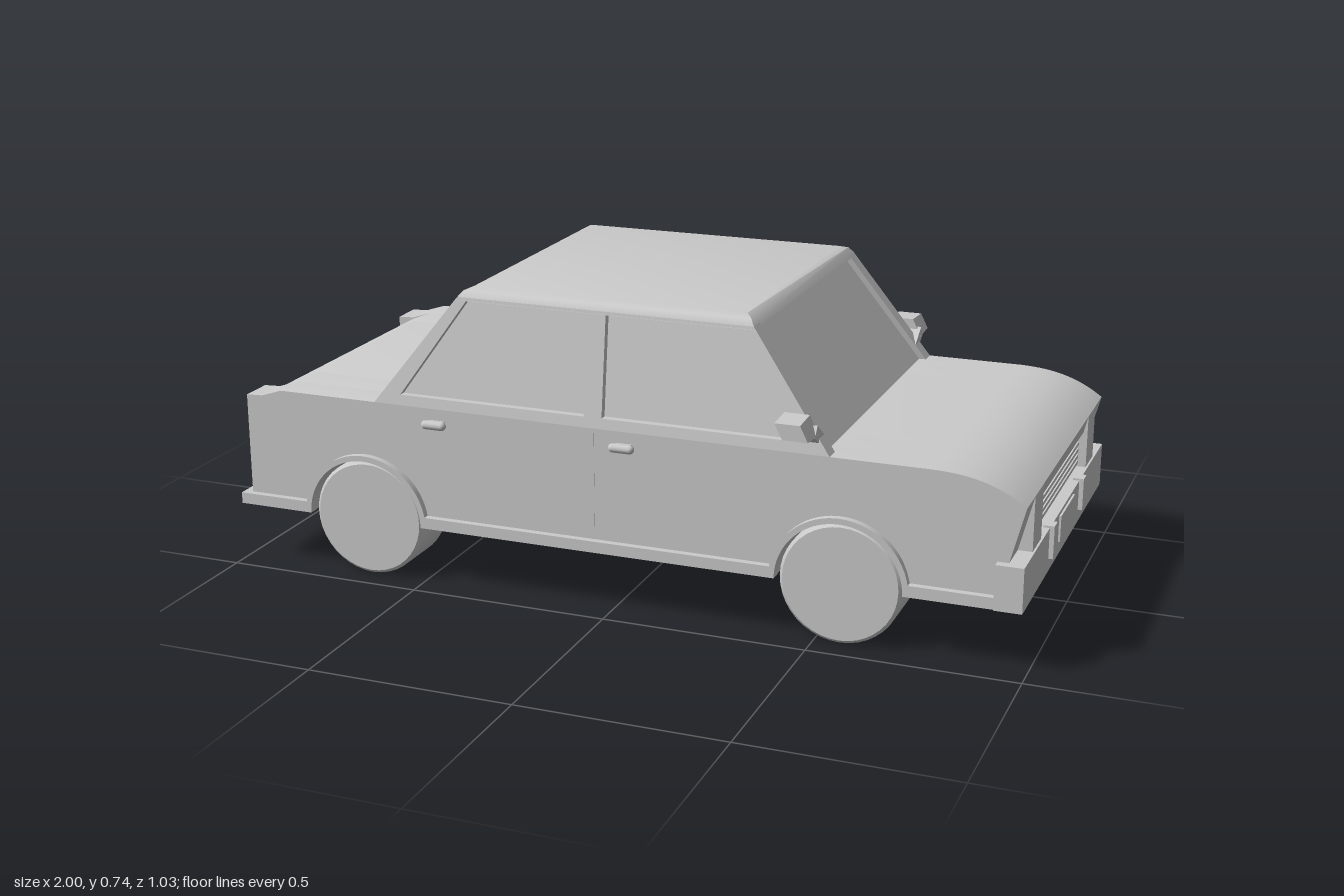
import * as THREE from 'three';
import { toCreasedNormals } from 'three/addons/utils/BufferGeometryUtils.js';

const mat = new THREE.MeshStandardMaterial({ color: 0xcccccc });
const AXLES = [-0.65, 0.56], AXLE_Y = 0.147, FLOOR = 0.147;
const BELT = 0.45, ROOF = 0.72;

export function createModel() {
  const car = new THREE.Group();
  car.name = 'car';

  const add = (name, geo, x = 0, y = 0, z = 0) => {
    const m = new THREE.Mesh(geo, mat);
    m.name = name;
    m.position.set(x, y, z);
    car.add(m);
    return m;
  };
  // box from its limits
  const box = (name, x0, x1, y0, y1, z0, z1) =>
    add(name, new THREE.BoxGeometry(x1 - x0, y1 - y0, z1 - z0), (x0 + x1) / 2, (y0 + y1) / 2, (z0 + z1) / 2);
  const poly = (pts) => new THREE.Shape(pts.map((p) => new THREE.Vector2(...p)));
  // side profile pulled across z0..z1
  const slab = (shape, z0, z1) => {
    const g = new THREE.ExtrudeGeometry(shape, { depth: z1 - z0, bevelEnabled: false, curveSegments: 20 });
    return g.translate(0, 0, z0);
  };
  const warp = (g, rule) => {
    const p = g.attributes.position, v = new THREE.Vector3();
    for (let i = 0; i < p.count; i++) {
      rule(v.fromBufferAttribute(p, i));
      p.setXYZ(i, v.x, v.y, v.z);
    }
    g.computeVertexNormals();
    return g;
  };
  // bottom edge, left to right, with wheel arches
  const archedBottom = (s, r) => {
    for (const x of AXLES) {
      s.lineTo(x - r, FLOOR);
      s.absarc(x, AXLE_Y, r, Math.PI, 0, true);
    }
  };

  // Body, in lengthwise sections with their own nose and tail
  const bodyProfile = (nose, tail) => {
    const s = new THREE.Shape();
    s.moveTo(-0.978, FLOOR);
    archedBottom(s, 0.153);
    s.lineTo(0.94, FLOOR);
    nose.forEach((p) => s.lineTo(...p));
    s.bezierCurveTo(0.92, 0.43, 0.86, 0.448, 0.77, BELT);
    s.lineTo(-0.88, BELT);
    tail.forEach((p) => s.lineTo(...p));
    s.closePath();
    return s;
  };
  const lowTail = [[-0.935, 0.428], [-0.978, 0.39]];
  const finTail = [[-0.935, 0.432], [-0.978, 0.43]];
  const grilleNose = [[0.94, 0.34], [0.97, 0.345], [0.98, 0.387]];
  const lampNose = [[0.98, FLOOR], [0.98, 0.387]];
  const cornerNose = [[0.945, 0.25], [0.98, 0.387]];
  const section = (name, nose, tail, z0, z1) =>
    add(name, toCreasedNormals(slab(bodyProfile(nose, tail), z0, z1), 0.4));
  section('bodyCentre', grilleNose, lowTail, -0.265, 0.265);
  for (const [a, b, c, d] of [[0.265, 0.355, 0.355, 0.44], [-0.355, -0.265, -0.44, -0.355]]) {
    section('lampColumnSection', lampNose, lowTail, a, b);
    section('bodyFlank', cornerNose, finTail, c, d);
  }

  // Grille slats
  for (let i = 0; i < 5; i++) box('grilleSlat', 0.93, 0.96, 0.262 + i * 0.016, 0.271 + i * 0.016, -0.265, 0.265);

  // Sill trim with arch lips
  const trim = new THREE.Shape();
  trim.moveTo(-1, FLOOR);
  archedBottom(trim, 0.152);
  trim.lineTo(0.95, FLOOR);
  trim.lineTo(0.95, 0.175);
  for (const x of [...AXLES].reverse()) {
    const r = 0.166, a = Math.asin((0.175 - AXLE_Y) / r);
    trim.lineTo(x + r * Math.cos(a), 0.175);
    trim.absarc(x, AXLE_Y, r, a, Math.PI - a, false);
  }
  trim.lineTo(-1, 0.175);
  trim.closePath();
  add('leftSillTrim', toCreasedNormals(slab(trim, 0.43, 0.457), 0.4));
  add('rightSillTrim', toCreasedNormals(slab(trim, -0.457, -0.43), 0.4));

  // Bumpers and number plates
  box('rearBumper', -1, -0.93, FLOOR, 0.175, -0.457, 0.457);
  box('rearPlate', -0.984, -0.97, 0.185, 0.25, -0.08, 0.08);
  box('frontBumper', 0.92, 0.985, FLOOR, 0.255, -0.462, 0.462);
  box('frontPlate', 0.98, 0.99, 0.182, 0.246, -0.082, 0.082);
  for (const s of [-1, 1]) box('overrider', 0.97, 0.996, 0.18, 0.26, s * 0.175 - 0.017, s * 0.175 + 0.017);

  // Cabin: edges lean inwards with height
  const frontX = (y) => 0.53 - 0.737 * (y - BELT);
  const rearX = (y) => -0.62 + 0.77 * (y - BELT);
  const lean = (g, side = 0) => warp(g, (v) => { v.z -= (side || Math.sign(v.z)) * (v.y - BELT) * 0.18; });
  const cabinShape = (inset, y0, y1) => poly([
    [rearX(y0) + inset, y0], [frontX(y0) - inset, y0], [frontX(y1) - inset, y1], [rearX(y1) + inset, y1]]);
  add('glassCore', lean(slab(cabinShape(0.018, BELT - 0.02, ROOF), -0.422, 0.422)));

  // Side frames with two window openings
  const lo = 0.475, hi = 0.712;
  for (const s of [-1, 1]) {
    const frame = cabinShape(0, BELT, ROOF);
    frame.holes.push(
      poly([[rearX(lo) + 0.05, lo], [rearX(hi) + 0.03, hi], [-0.063, hi], [-0.07, lo]]),
      poly([[-0.025, lo], [-0.03, hi], [frontX(hi) - 0.03, hi], [frontX(lo) - 0.05, lo]]));
    add(s > 0 ? 'leftWindowFrame' : 'rightWindowFrame',
      lean(s > 0 ? slab(frame, 0.4, 0.44) : slab(frame, -0.44, -0.4), s));
  }

  // Roof: rounded across, ends following the screens
  const edge = [[0.393, 0.712], [0.388, 0.724], [0.378, 0.734], [0.355, 0.741]];
  const roofShape = poly([...edge, ...edge.map(([z, y]) => [-z, y]).reverse()]);
  const roof = slab(roofShape, 0, 1);
  warp(roof, (v) => {
    const z = -v.x, t = v.z, round = v.y > 0.738 ? 0.012 : 0;
    v.set(THREE.MathUtils.lerp(rearX(v.y) + round, frontX(v.y) - round, t), v.y, z);
  });
  // x-y-z relabelling above is a pure quarter turn, so faces stay outward
  roof.scale(1, 1, 1);
  add('roof', toCreasedNormals(roof, 0.5));

  // Wheels and axles
  for (const x of AXLES) {
    add('axle', new THREE.CylinderGeometry(0.072, 0.072, 0.7, 24).rotateX(Math.PI / 2), x, AXLE_Y, 0);
    for (const s of [-1, 1]) {
      const pts = [[0, -0.07], [0.138, -0.07], [0.146, -0.062], [0.146, 0.062], [0.138, 0.07], [0, 0.07]];
      const wheel = new THREE.LatheGeometry(pts.map((p) => new THREE.Vector2(...p)), 40);
      add('wheel', toCreasedNormals(wheel.rotateX(Math.PI / 2), 0.5), x, AXLE_Y, s * 0.368);
    }
  }

  // Door handles, door seams and mirrors
  for (const s of [-1, 1]) {
    for (const x of [-0.452, 0.033]) {
      const handle = new THREE.CapsuleGeometry(0.011, 0.042, 6, 12).rotateZ(Math.PI / 2);
      add('doorHandle', handle, x, 0.415, s * 0.458);
      box('handleMount', x - 0.02, x + 0.02, 0.408, 0.422, s * 0.446 - 0.01, s * 0.446 + 0.01);
    }
    box('doorSeam', -0.047, -0.043, 0.175, BELT, s * 0.438 - 0.003, s * 0.438 + 0.003);

    const mirror = new THREE.Group();
    mirror.name = s > 0 ? 'leftMirror' : 'rightMirror';
    const head = new THREE.Mesh(warp(new THREE.BoxGeometry(0.06, 0.044, 0.076), (v) => {
      if (v.z * s > 0) v.y *= 0.85;
      v.x -= v.y * 0.5;
    }), mat);
    head.name = 'mirrorHead';
    head.position.set(0.463, 0.521, s * 0.477);
    const stalk = new THREE.Mesh(new THREE.BoxGeometry(0.045, 0.03, 0.06), mat);
    stalk.name = 'mirrorStalk';
    stalk.position.set(0.48, 0.493, s * 0.43);
    stalk.rotation.x = -s * 0.6;
    mirror.add(head, stalk);
    car.add(mirror);
  }
  return car;
}
